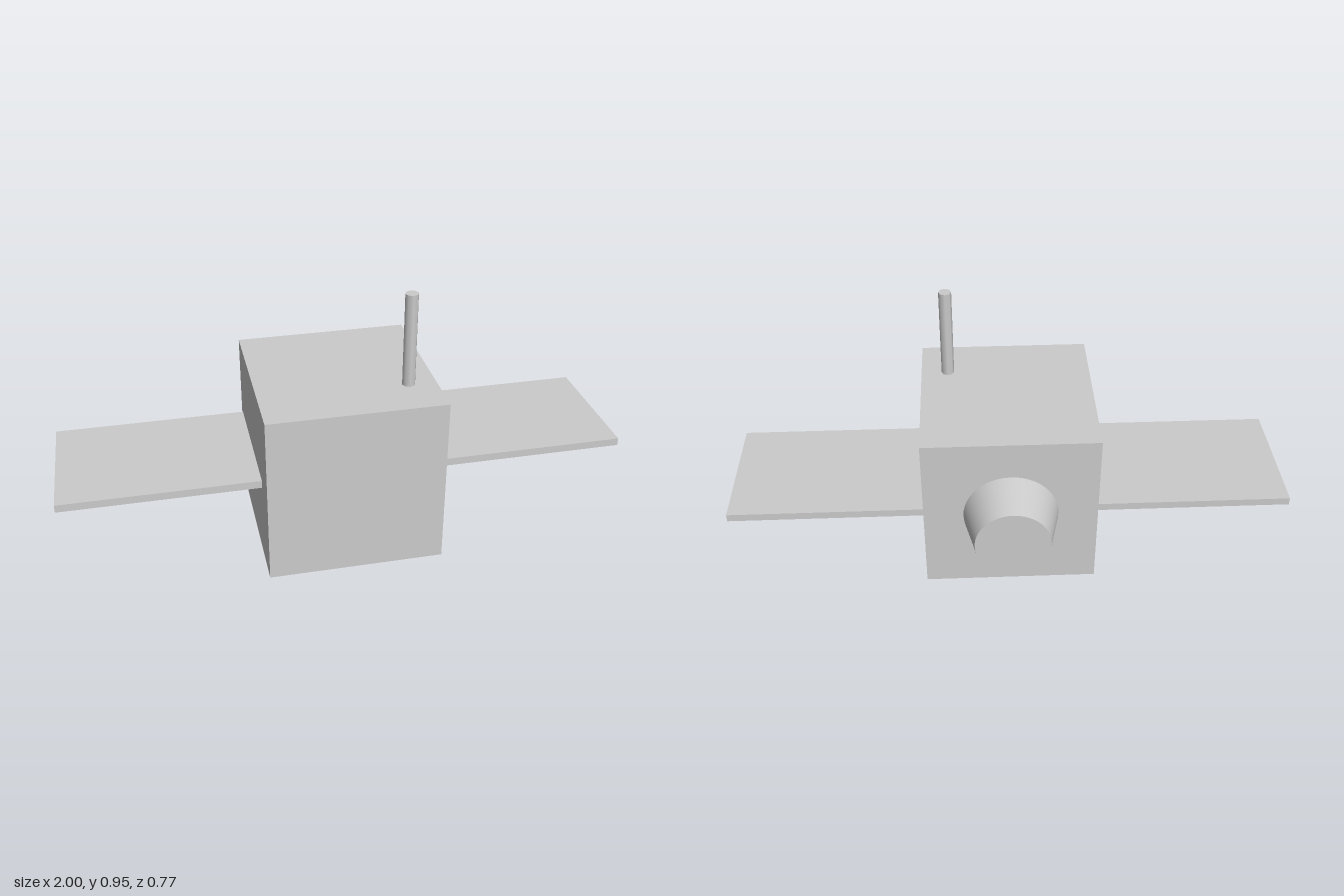
import * as THREE from 'three';

const material = new THREE.MeshStandardMaterial({ color: 0xcccccc });

function createPart(name, geometry, x, y, z) {
  const mesh = new THREE.Mesh(geometry, material);
  mesh.name = name;
  mesh.position.set(x, y, z);
  return mesh;
}

export function createModel() {
  const model = new THREE.Group();
  model.name = 'satellite';

  // Cubic body
  const size = 0.618;
  const bodyZ = 0.079;
  model.add(createPart('body', new THREE.BoxGeometry(size, size, size), 0, size / 2, bodyZ));

  // Flat solar panels on both sides
  const panelLength = 1 - size / 2;
  for (const [name, side] of [['leftPanel', 1], ['rightPanel', -1]]) {
    const panel = new THREE.BoxGeometry(panelLength, 0.028, 0.477);
    model.add(createPart(name, panel, side * (1 - panelLength / 2), 0.311, 0.031));
  }

  // Tapered nozzle at the back, narrowing away from the body
  const nozzleLength = 0.157;
  const nozzle = new THREE.CylinderGeometry(0.132, 0.168, nozzleLength, 48).rotateX(-Math.PI / 2);
  model.add(createPart('nozzle', nozzle, 0, 0.311, bodyZ - size / 2 - nozzleLength / 2));

  // Antenna rod near the front left corner of the roof
  const antennaHeight = 0.953 - size;
  const antenna = new THREE.CylinderGeometry(0.023, 0.023, antennaHeight, 8);
  model.add(createPart('antenna', antenna, 0.212, size + antennaHeight / 2, 0.222));

  return model;
}
